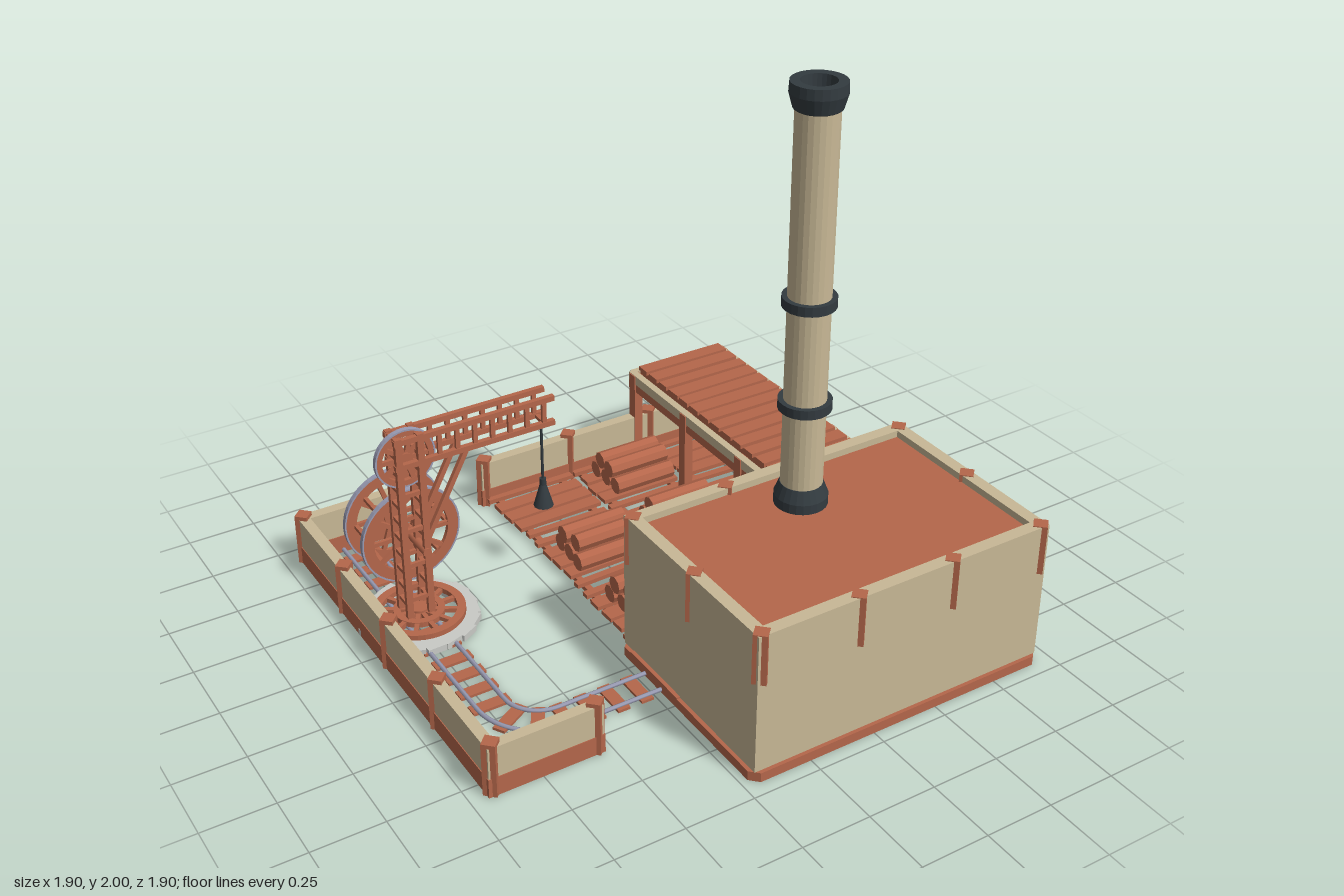
import * as THREE from 'three';

const mat = (name, color) => {
  const m = new THREE.MeshStandardMaterial({ color });
  m.name = name;
  return m;
};

export function createModel() {
  const root = new THREE.Group();
  root.name = 'mineYard';
  const wood = mat('red timber', 0xb5674b);
  const plaster = mat('sand plaster', 0xc8b896);
  const iron = mat('dark iron', 0x333b40);
  const steel = mat('lilac steel', 0x9a9cb4);
  const stone = mat('pale stone', 0xc9cac6);

  let seed = 7;
  const rand = () => ((seed = (seed * 16807) % 2147483647) / 2147483647) - 0.5;
  const group = (name, parent = root) => {
    const g = new THREE.Group();
    g.name = name;
    parent.add(g);
    return g;
  };
  const add = (parent, name, geo, m, x = 0, y = 0, z = 0) => {
    const mesh = new THREE.Mesh(geo, m);
    mesh.name = name;
    mesh.position.set(x, y, z);
    parent.add(mesh);
    return mesh;
  };
  // Box given by its limits on each axis
  const box = (p, name, m, x0, x1, y0, y1, z0, z1) =>
    add(p, name, new THREE.BoxGeometry(x1 - x0, y1 - y0, z1 - z0), m, (x0 + x1) / 2, (y0 + y1) / 2, (z0 + z1) / 2);
  const faceted = (geo) => {
    const g = geo.index ? geo.toNonIndexed() : geo;
    g.computeVertexNormals();
    return g;
  };
  // Square post turned by 45 degrees
  const post = (p, x, z, y0, y1, s = 0.047) => {
    box(p, 'post', wood, x - s / 2, x + s / 2, y0, y1, z - s / 2, z + s / 2).rotation.y = Math.PI / 4;
  };
  // Flat ring facing z
  const ring = (outer, inner, depth) => {
    const s = new THREE.Shape().absarc(0, 0, outer, 0, Math.PI * 2, false);
    s.holes.push(new THREE.Path().absarc(0, 0, inner, 0, Math.PI * 2, true));
    return new THREE.ExtrudeGeometry(s, { depth, bevelEnabled: false, curveSegments: 20 }).translate(0, 0, -depth / 2);
  };
  const wheel = (p, name, r, rim, spokes, depth, tyre) => {
    const g = group(name, p);
    add(g, 'rim', ring(r - 0.005, r - rim, depth), wood);
    if (tyre) add(g, 'tyre', ring(r, r - 0.006, depth + 0.002), tyre);
    const hub = add(g, 'hub', new THREE.CylinderGeometry(r * 0.2, r * 0.2, depth * 1.6, 16), wood);
    hub.rotation.x = Math.PI / 2;
    for (let i = 0; i < spokes / 2; i++) {
      const s = add(g, 'spoke', new THREE.BoxGeometry(2 * (r - rim) + 0.01, 0.016, depth * 0.8), wood);
      s.rotation.z = (i * 2 * Math.PI) / spokes;
    }
    return g;
  };

  // Main building: plinth, walls, roof and posts
  const hall = group('hall');
  const chamfered = (Cls, x0, x1, z0, z1, c) => new Cls([
    [x0 + c, z0], [x1 - c, z0], [x1, z0 + c], [x1, z1 - c], [x1 - c, z1], [x0 + c, z1], [x0, z1 - c], [x0, z0 + c],
  ].map(([x, z]) => new THREE.Vector2(x, -z)));
  const plinth = chamfered(THREE.Shape, -0.222, 0.95, 0.152, 0.95, 0.03);
  plinth.holes.push(chamfered(THREE.Path, -0.16, 0.89, 0.21, 0.89, 0.01));
  add(hall, 'plinth', new THREE.ExtrudeGeometry(plinth, { depth: 0.035, bevelEnabled: false }).rotateX(-Math.PI / 2), wood);
  box(hall, 'frontWall', plaster, -0.208, 0.937, 0.035, 0.55, 0.892, 0.937);
  box(hall, 'backWall', plaster, -0.208, 0.937, 0.035, 0.55, 0.16, 0.205);
  box(hall, 'rightWall', plaster, -0.208, -0.163, 0.035, 0.55, 0.205, 0.892);
  box(hall, 'leftWall', plaster, 0.892, 0.937, 0.035, 0.55, 0.205, 0.892);
  box(hall, 'roof', wood, -0.165, 0.895, 0.5, 0.525, 0.2, 0.895);
  box(hall, 'threshold', wood, -0.222, -0.2, 0.0, 0.04, 0.22, 0.51);
  for (const x of [-0.185, 0.18, 0.55, 0.917])
    for (const z of [0.18, 0.55, 0.917])
      if (z !== 0.55 || x < 0 || x > 0.9) post(hall, x, z, 0.37, 0.553);

  // Hollow chimney with collars
  const chimney = group('chimney');
  chimney.position.set(0.36, 0, 0.36);
  const lathe = (name, m, pts) =>
    add(chimney, name, faceted(new THREE.LatheGeometry(pts.map(([r, y]) => new THREE.Vector2(r, y)), 24)), m);
  lathe('shaft', plaster, [[0.052, 0.53], [0.072, 0.53], [0.072, 1.95], [0.052, 1.95], [0.052, 0.53]]);
  lathe('foot', iron, [[0.07, 0.525], [0.092, 0.525], [0.092, 0.56], [0.074, 0.605], [0.07, 0.605]]);
  for (const y of [0.885, 1.255]) lathe('collar', iron, [[0.07, y], [0.09, y], [0.09, y + 0.034], [0.07, y + 0.034]]);
  lathe('crown', iron, [[0.07, 1.91], [0.078, 1.915], [0.092, 1.965], [0.09, 2], [0.058, 2], [0.052, 1.94]]);

  // Low enclosure walls between evenly spaced posts
  const fence = group('enclosure');
  const wall = (x0, z0, x1, z1) => {
    const t = 0.02;
    const n = Math.round(Math.hypot(x1 - x0, z1 - z0) / 0.368);
    const [ax, bx, az, bz] = [Math.min(x0, x1), Math.max(x0, x1), Math.min(z0, z1), Math.max(z0, z1)];
    box(fence, 'wallFoot', wood, ax - t - 0.003, bx + t + 0.003, 0, 0.07, az - t - 0.003, bz + t + 0.003);
    box(fence, 'wallPanel', plaster, ax - t, bx + t, 0.07, 0.185, az - t, bz + t);
    for (let i = 0; i <= n; i++) post(fence, x0 + ((x1 - x0) * i) / n, z0 + ((z1 - z0) * i) / n, 0, 0.2);
  };
  wall(-0.918, -0.918, -0.918, 0.55);
  wall(-0.918, 0.55, -0.55, 0.55);
  wall(-0.918, -0.918, -0.55, -0.918);
  wall(-0.185, -0.918, 0.917, -0.918);
  wall(0.917, -0.918, 0.917, 0.18);

  // Plank floor in three bays on joists
  const floor = group('yardFloor');
  for (const [x0, x1] of [[-0.18, 0.165], [0.185, 0.52], [0.54, 0.89]]) {
    for (const x of [x0 + 0.04, x1 - 0.03]) box(floor, 'joist', wood, x - 0.012, x + 0.012, 0, 0.018, -0.9, 0.15);
    for (let i = 0; i < 15; i++) {
      const w = [0.03, 0.056, 0.06, 0.055, 0.028][i % 5];
      const z = -0.885 + i * 0.0725;
      const plank = box(floor, 'plank', wood, x0 + rand() * 0.02, x1 + rand() * 0.02, 0.018, 0.034, z - w / 2, z + w / 2);
      plank.rotation.y = rand() * 0.07;
    }
  }

  // Stacked timber logs
  const logGeo = faceted(new THREE.CylinderGeometry(0.034, 0.034, 0.25, 8).rotateZ(Math.PI / 2));
  for (const [x, z] of [[0, -0.37], [0, 0], [0.365, -0.74], [0.365, -0.37], [0.365, 0]]) {
    const pile = group('logPile');
    pile.position.set(x, 0.066, z);
    for (let row = 0; row < 2; row++)
      for (let i = 0; i < 3 - row; i++)
        add(pile, 'log', logGeo, wood, rand() * 0.015, row * 0.058, (i - (2 - row) / 2) * 0.072);
  }

  // Raised loading platform
  const deck = group('platform');
  for (const x of [0.493, 0.897]) {
    box(deck, 'lowerBeam', wood, x - 0.012, x + 0.012, 0.3, 0.335, -0.95, 0.16);
    box(deck, 'upperBeam', plaster, x - 0.014, x + 0.014, 0.335, 0.372, -0.945, 0.16);
    for (const z of [-0.915, -0.55, -0.18, 0.14]) box(deck, 'leg', wood, x - 0.018, x + 0.018, 0, 0.37, z - 0.02, z + 0.02);
  }
  for (const z of [-0.94, 0.148]) {
    box(deck, 'lowerCrossBeam', wood, 0.49, 0.9, 0.3, 0.335, z - 0.012, z + 0.012);
    box(deck, 'upperCrossBeam', plaster, 0.49, 0.9, 0.335, 0.372, z - 0.012, z + 0.012);
  }
  for (const x of [0.535, 0.86]) box(deck, 'joist', wood, x - 0.012, x + 0.012, 0.345, 0.382, -0.93, 0.14);
  for (let i = 0; i < 15; i++) {
    const z = -0.89 + i * 0.0727;
    const w = 0.027 + rand() * 0.008;
    box(deck, 'deckPlank', wood, 0.51, 0.882, 0.382, 0.398, z - w, z + w).rotation.y = rand() * 0.02;
  }

  // Curved narrow track: straight, quarter turn, straight
  const track = group('track');
  const cx = -0.555, cz = 0.185;
  for (const r of [0.13, 0.23]) {
    const pts = [];
    for (let i = 0; i <= 24; i++) pts.push(new THREE.Vector3(cx - r, 0.012, -0.9 + (i / 24) * (cz + 0.9)));
    for (let i = 1; i < 9; i++) {
      const a = (i / 8) * Math.PI / 2;
      pts.push(new THREE.Vector3(cx - r * Math.cos(a), 0.012, cz + r * Math.sin(a)));
    }
    for (let i = 1; i <= 6; i++) pts.push(new THREE.Vector3(cx + (i / 6) * 0.355, 0.012, cz + r));
    add(track, 'rail', new THREE.TubeGeometry(new THREE.CatmullRomCurve3(pts), 90, 0.008, 6), steel);
  }
  const sleeper = (x, z, turn) => {
    add(track, 'sleeper', new THREE.BoxGeometry(0.14, 0.01, 0.045), wood, x, 0.005, z).rotation.y = turn;
  };
  for (let i = 0; i < 12; i++) sleeper(cx - 0.18, 0.18 - i * 0.0915, 0);
  for (const a of [Math.PI / 6, Math.PI / 3]) sleeper(cx - 0.18 * Math.cos(a), cz + 0.18 * Math.sin(a), a);
  for (let i = 0; i < 5; i++) sleeper(cx + i * 0.09, cz + 0.18, Math.PI / 2);

  // Crane base: ring of stones and spoked turntable
  const crane = group('crane');
  for (let i = 0; i < 18; i++) {
    const a = (i / 18) * Math.PI * 2;
    const s = add(crane, 'baseStone', new THREE.BoxGeometry(0.06 + rand() * 0.02, 0.024, 0.072), stone,
      -0.725 + 0.18 * Math.cos(a), 0.014, -0.37 + 0.18 * Math.sin(a));
    s.rotation.y = -a + rand() * 0.5;
  }
  const table = wheel(crane, 'turntable', 0.168, 0.035, 12, 0.02);
  table.rotation.x = -Math.PI / 2;
  table.position.set(-0.725, 0.04, -0.37);
  add(table, 'innerRing', ring(0.09, 0.065, 0.02), wood);

  // Mast with rungs, jib with lattice, diagonal braces
  for (const z of [-0.335, -0.408]) {
    for (const x of [-0.775, -0.695]) box(crane, 'mastPost', wood, x - 0.012, x + 0.012, 0.03, 0.765, z - 0.009, z + 0.009);
    for (const y of [0.655, 0.75]) box(crane, 'jibBeam', wood, -0.79, -0.19, y - 0.01, y + 0.01, z - 0.009, z + 0.009);
    for (let i = 0; i < 7; i++) {
      const x = -0.625 + i * 0.066;
      box(crane, 'jibStrut', wood, x - 0.008, x + 0.008, 0.66, 0.745, z - 0.006, z + 0.006);
    }
    const brace = add(crane, 'brace', new THREE.BoxGeometry(0.018, 0.36, 0.016), wood, -0.612, 0.495, z);
    brace.rotation.z = -Math.atan2(0.17, 0.32);
    for (let y = 0.12; y < 0.65; y += 0.14) box(crane, 'mastRail', wood, -0.775, -0.695, y - 0.008, y + 0.008, z - 0.006, z + 0.006);
  }
  for (let y = 0.1; y < 0.76; y += 0.065)
    for (const x of [-0.775, -0.695]) box(crane, 'rung', wood, x - 0.008, x + 0.008, y - 0.007, y + 0.007, -0.408, -0.335);

  // Pulley, rope and hanging weight at the jib end
  wheel(crane, 'pulleyWheel', 0.11, 0.026, 10, 0.016, steel).position.set(-0.738, 0.665, -0.371);
  box(crane, 'jibTip', wood, -0.23, -0.215, 0.648, 0.66, -0.408, -0.335);
  add(crane, 'rope', new THREE.CylinderGeometry(0.005, 0.005, 0.27, 6), iron, -0.222, 0.52, -0.371);
  add(crane, 'weight', new THREE.CylinderGeometry(0.012, 0.036, 0.085, 12), iron, -0.222, 0.347, -0.371);
  add(crane, 'weightNeck', new THREE.CylinderGeometry(0.012, 0.012, 0.03, 10), iron, -0.222, 0.4, -0.371);

  // Large double winding wheel with cross bars
  const winder = group('windingWheel');
  winder.position.set(-0.7, 0.3, -0.53);
  for (const z of [-0.073, 0.073]) wheel(winder, 'wheelSide', 0.185, 0.045, 10, 0.016, steel).position.z = z;
  for (let i = 0; i < 8; i++) {
    const a = (i / 8) * Math.PI * 2;
    add(winder, 'crossBar', new THREE.BoxGeometry(0.014, 0.014, 0.146), wood, 0.142 * Math.cos(a), 0.142 * Math.sin(a), 0);
  }
  add(winder, 'axle', new THREE.CylinderGeometry(0.016, 0.016, 0.3, 12).rotateX(Math.PI / 2), wood, 0, 0, 0.06);

  return root;
}
